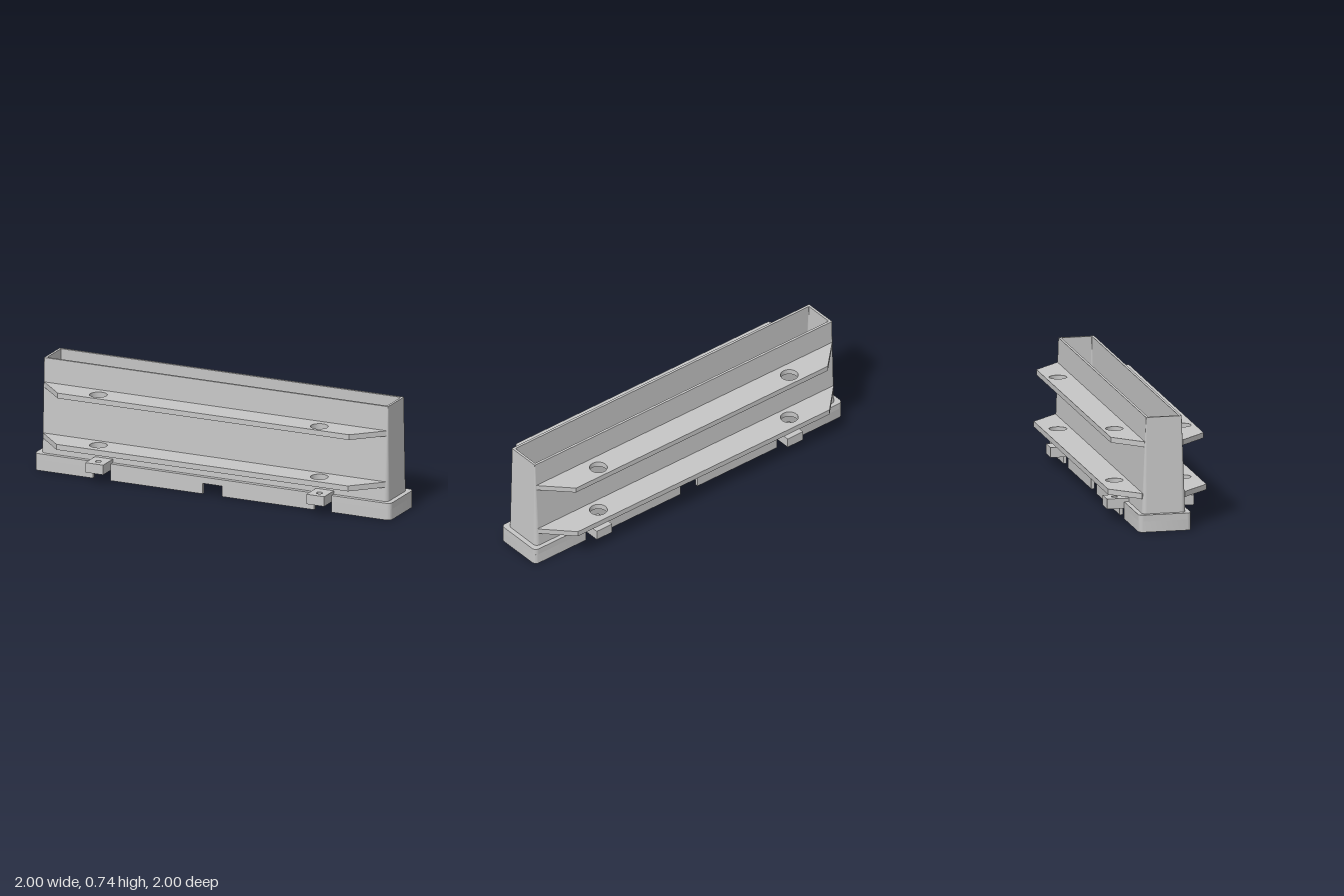
import * as THREE from 'three';
import { toCreasedNormals } from 'three/addons/utils/BufferGeometryUtils.js';

const HOLE_U = 0.782, HOLE_V = 0.222; // bolt positions along and across the body

// Closed ring lofted through rounded rectangles: [halfLength, halfWidth, cornerRadius, y].
// Flat sides keep flat normals, corners are smooth.
function loft(profile) {
  const steps = 6, pos = [], normal = [], index = [], n = 4 * (steps + 1), m = profile.length;
  for (let j = 0; j < m; j++) {
    const p = profile[j], p2 = profile[(j + 1) % m], start = pos.length / 3;
    const rise = p2[3] - p[3], grow = p2[1] - p[1], len = Math.hypot(rise, grow);
    for (const [a, b, r, y] of [p, p2]) {
      for (let q = 0; q < 4; q++) {
        const sx = q === 0 || q === 3 ? 1 : -1, sz = q < 2 ? 1 : -1;
        for (let i = 0; i <= steps; i++) {
          const t = (q + i / steps) * Math.PI / 2, c = Math.cos(t), s = Math.sin(t);
          pos.push(sx * (a - r) + r * c, y, sz * (b - r) + r * s);
          normal.push(c * rise / len, -grow / len, s * rise / len);
        }
      }
    }
    for (let k = 0; k < n; k++) {
      const a = start + k, c = start + (k + 1) % n;
      index.push(a, a + n, c, a + n, c + n, c);
    }
  }
  const g = new THREE.BufferGeometry();
  g.setAttribute('position', new THREE.Float32BufferAttribute(pos, 3));
  g.setAttribute('normal', new THREE.Float32BufferAttribute(normal, 3));
  g.setIndex(index);
  return g;
}

// Horizontal plate: outline in (x, z) between two heights
function plate(shape, y0, y1) {
  const g = new THREE.ExtrudeGeometry(shape, { depth: y1 - y0, bevelEnabled: false, curveSegments: 16 });
  g.rotateX(Math.PI / 2).translate(0, y1, 0);
  return toCreasedNormals(g, 0.6);
}

// Counter-clockwise outline with one round hole at the bolt position
function drilled(points, r) {
  const shape = new THREE.Shape(points.map(([x, z]) => new THREE.Vector2(x, z)));
  shape.holes.push(new THREE.Path().absarc(HOLE_U, HOLE_V, r, 0, Math.PI * 2, true));
  return shape;
}

export function createModel() {
  const grey = new THREE.MeshStandardMaterial({ color: 0xc6c6c6 });
  grey.name = 'grey';
  const model = new THREE.Group();
  model.name = 'flangedChannel';
  const body = new THREE.Group();
  body.name = 'assembly';
  body.rotation.y = -Math.PI / 4;
  model.add(body);
  const add = (parent, geometry, name) => {
    const mesh = new THREE.Mesh(geometry, grey);
    mesh.name = name;
    parent.add(mesh);
  };
  // Drilled plate at both ends: the second is turned over about its mid height
  const addPair = (parent, shape, y0, y1, name) => {
    const g = plate(shape, y0, y1);
    add(parent, g, name);
    add(parent, g.clone().rotateZ(Math.PI).translate(0, y0 + y1, 0), name);
  };

  // Tapered open tube
  add(body, loft([
    [1.227, 0.143, 0.03, 0.09], [1.218, 0.117, 0.005, 0.74],
    [1.202, 0.1, 0.004, 0.74], [1.202, 0.112, 0.025, 0.09],
  ]), 'channelWalls');

  // Upper part of the base skirt with its inner ledge
  add(body, loft([
    [1.26, 0.172, 0.03, 0.07], [1.26, 0.172, 0.03, 0.112],
    [1.207, 0.117, 0.02, 0.112], [1.207, 0.117, 0.02, 0.088],
    [1.24, 0.152, 0.012, 0.088], [1.24, 0.152, 0.012, 0.07],
  ]), 'baseRim');

  // Everything below repeats on both long sides by a half turn
  for (let s = 0; s < 2; s++) {
    const side = new THREE.Group();
    side.name = s ? 'backSide' : 'frontSide';
    side.rotation.y = s * Math.PI;
    body.add(side);

    // Lower skirt end, wrapping the two corners
    const end = new THREE.Shape();
    end.moveTo(0.845, -0.172);
    end.lineTo(1.23, -0.172);
    end.absarc(1.23, -0.142, 0.03, -Math.PI / 2, 0, false);
    end.lineTo(1.26, 0.142);
    end.absarc(1.23, 0.142, 0.03, 0, Math.PI / 2, false);
    end.lineTo(0.845, 0.172);
    end.lineTo(0.845, 0.152);
    end.lineTo(1.24, 0.152);
    end.lineTo(1.24, -0.152);
    end.lineTo(0.845, -0.152);
    add(side, plate(end, 0, 0.07), 'skirtEnd');

    // Lower skirt walls between the notches, and bridges from the lugs to the channel wall
    for (const m of [-1, 1]) {
      const wall = new THREE.BoxGeometry(0.65, 0.07, 0.02);
      add(side, wall.translate(m * 0.395, 0.035, 0.162), 'skirtWall');
      const bridge = new THREE.BoxGeometry(0.126, 0.035, 0.034);
      add(side, bridge.translate(m * HOLE_U, 0.1175, 0.138), 'lugBridge');
    }

    // Bolt lugs with through holes
    const u0 = HOLE_U - 0.063, u1 = HOLE_U + 0.063;
    const lug = drilled([[u0, 0.153], [u1, 0.153], [u1, 0.284], [u0, 0.284]], 0.02);
    addPair(side, lug, 0.07, 0.135, 'boltLug');

    // Two levels of flanges with chamfered ends and access holes, each in two halves
    for (const [y0, y1, inner, outer] of [[0.207, 0.243, 0.141, 0.322], [0.545, 0.58, 0.126, 0.304]]) {
      const half = drilled([
        [0, inner - 0.02], [1.2, inner - 0.02], [1.21, inner], [1.031, outer], [0, outer],
      ], 0.057);
      addPair(side, half, y0, y1, 'flangeHalf');
    }
  }
  return model;
}
